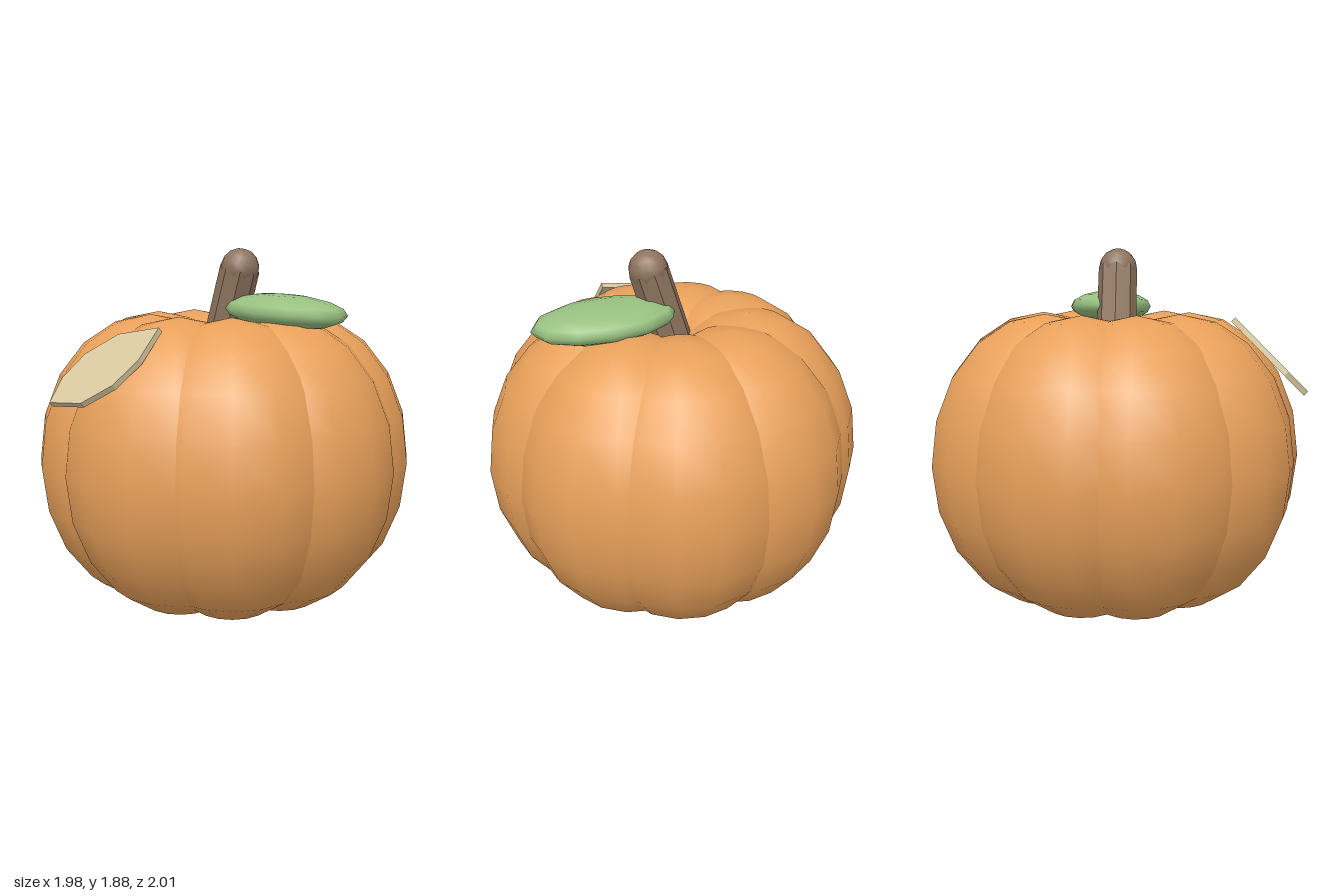
import * as THREE from 'three';

const material = (color, extra = {}) => new THREE.MeshStandardMaterial({ color, ...extra });

function addMesh(parent, name, geometry, mat, position = [0, 0, 0]) {
  const mesh = new THREE.Mesh(geometry, mat);
  mesh.name = name;
  mesh.position.set(...position);
  parent.add(mesh);
  return mesh;
}

export function createModel() {
  const model = new THREE.Group();
  model.name = 'pumpkin';

  // Body: a ring of nine overlapping, upright ellipsoid lobes
  const body = new THREE.Group();
  body.name = 'body';
  body.position.set(-0.014, 0.77, -0.007);
  model.add(body);
  const orange = material(0xe8a05a);
  const lobeGeometry = new THREE.SphereGeometry(1, 16, 10).scale(0.602, 0.77, 0.602);
  const lobes = 9, ringRadius = 0.4;
  for (let i = 0; i < lobes; i++) {
    const a = (i / lobes) * Math.PI * 2;
    addMesh(body, 'lobe', lobeGeometry, orange, [Math.cos(a) * ringRadius, 0, Math.sin(a) * ringRadius]);
  }

  // Stem: faceted post leaning to the left, with a rounded end
  const stem = new THREE.Group();
  stem.name = 'stem';
  stem.position.set(0.108, 1.778, 0);
  stem.rotation.z = -0.31;
  model.add(stem);
  const brown = 0x8f745e;
  const postLength = 0.5;
  addMesh(stem, 'stemPost', new THREE.CylinderGeometry(0.104, 0.108, postLength, 8),
    material(brown, { flatShading: true }), [0, -postLength / 2, 0]);
  addMesh(stem, 'stemTip', new THREE.SphereGeometry(0.103, 12, 8), material(brown));

  // Green leaf: flattened ellipsoid beside the stem
  const leaf = addMesh(model, 'leaf', new THREE.SphereGeometry(1, 12, 8).scale(0.375, 0.088, 0.23),
    material(0x98c080), [0.36, 1.562, -0.06]);
  leaf.rotation.z = -0.05;

  // Pale seed-shaped plate lying on the upper front; outline in the plate's own plane
  const outline = [
    [-0.20, -0.26], [0.02, -0.235], [0.15, -0.11], [0.205, 0.05],
    [0.19, 0.25], [-0.06, 0.19], [-0.20, 0.05], [-0.24, -0.11],
  ].map(([x, y]) => new THREE.Vector2(x, y));
  const thickness = 0.03;
  const plateGeometry = new THREE.ExtrudeGeometry(new THREE.Shape(outline), {
    depth: thickness, bevelEnabled: false,
  }).translate(0, 0, -thickness);
  const plate = addMesh(model, 'seedPlate', plateGeometry, material(0xd8c8a0), [0, 1.33, 0.82]);
  plate.rotation.x = -Math.PI / 4;

  return model;
}
